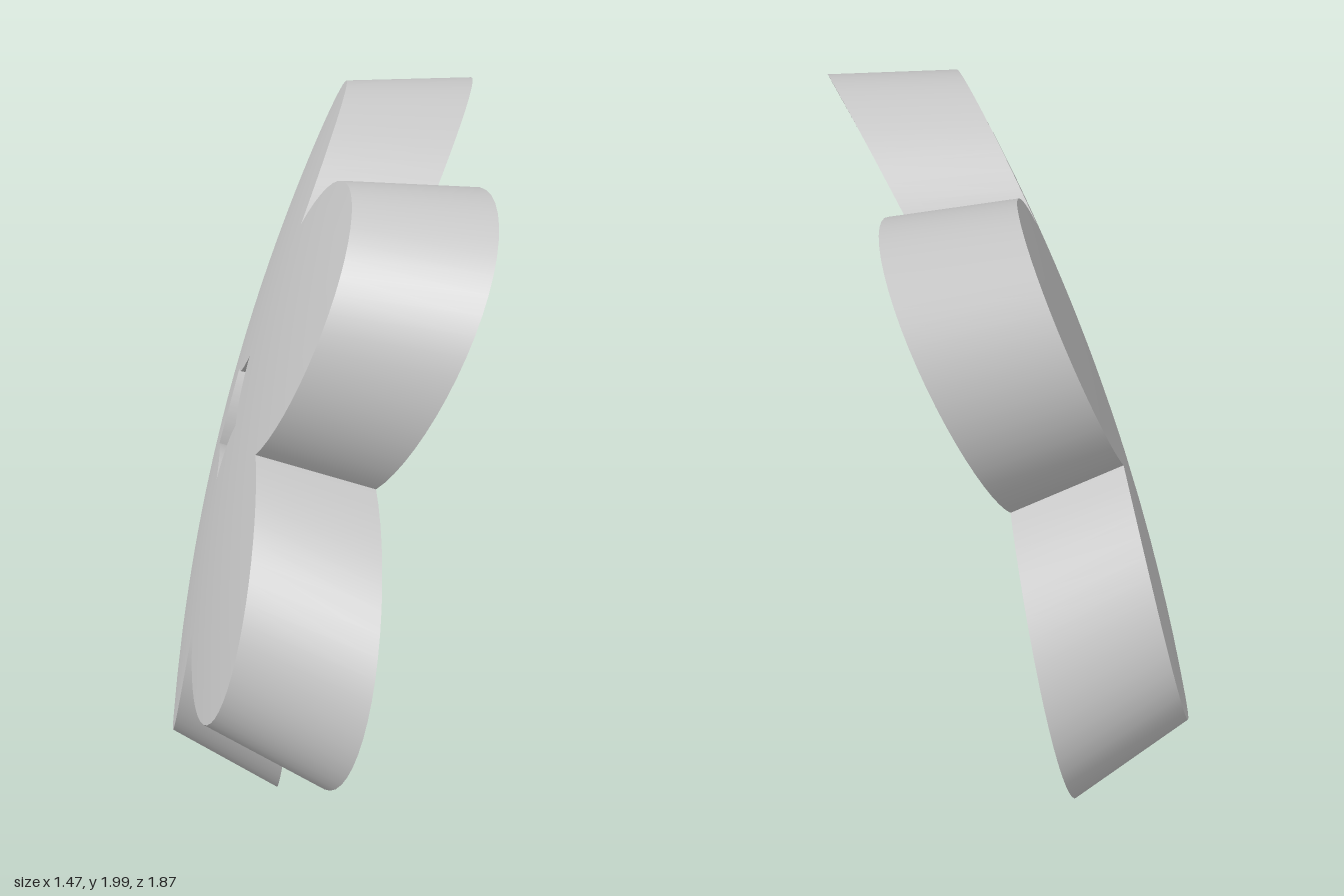
import * as THREE from 'three';
import { toCreasedNormals } from 'three/addons/utils/BufferGeometryUtils.js';

// Petal ellipse: distance from the flower's middle, radial and sideways half-sizes
const D = 0.565, P = 0.435, Q = 0.357;
const PETALS = 5, STEPS = 28, RINGS = 8;

// Where neighbouring petals cross: outer notch and corner of the centre hole
const slope = Math.tan(Math.PI / PETALS);
const phase = Math.atan2(slope * P, Q);
const cross = Math.asin(slope * D / Math.hypot(slope * P, Q));
const notch = phase + Math.min(cross, Math.PI - cross);
const corner = phase + Math.max(cross, Math.PI - cross);

// Thick domed flower, swept as a closed cross-section around its axis
function flowerGeometry() {
  const positions = [], indices = [];
  const columns = PETALS * STEPS, perColumn = 2 * (RINGS + 1);

  for (let i = 0; i < PETALS; i++) {
    const turn = (i + 0.5) * 2 * Math.PI / PETALS;
    const c = Math.cos(turn), s = Math.sin(turn);
    for (let j = 0; j < STEPS; j++) {
      const t = 2 * j / STEPS - 1;
      const tau = (Math.PI - corner) * t;
      const outer = [D + P * Math.cos(notch * t), Q * Math.sin(notch * t)];
      const inner = [D - P * Math.cos(tau), Q * Math.sin(tau)];
      const add = (f, scale, bend, depth) => {
        const r = (inner[0] + (outer[0] - inner[0]) * f) * scale;
        const w = (inner[1] + (outer[1] - inner[1]) * f) * scale;
        positions.push(r * s + w * c, r * c - w * s, -depth - bend * (r * r + w * w));
      };
      // front face outwards, then the wider back face inwards
      for (let k = 0; k <= RINGS; k++) add(k / RINGS, 1, 0.093, 0);
      for (let k = RINGS; k >= 0; k--) add(k / RINGS, 1.105, 0.118, 0.292);
    }
  }
  for (let j = 0; j < columns; j++) {
    for (let k = 0; k < perColumn; k++) {
      const j2 = (j + 1) % columns, k2 = (k + 1) % perColumn;
      const a = j * perColumn + k, b = j2 * perColumn + k;
      const c = j2 * perColumn + k2, d = j * perColumn + k2;
      indices.push(a, b, c, a, c, d);
    }
  }
  const geometry = new THREE.BufferGeometry();
  geometry.setAttribute('position', new THREE.Float32BufferAttribute(positions, 3));
  geometry.setIndex(indices);
  return toCreasedNormals(geometry, Math.PI / 6);
}

export function createModel() {
  const group = new THREE.Group();
  group.name = 'flower';

  const lightGrey = new THREE.MeshStandardMaterial({ color: 0xc8c8c8 });
  lightGrey.name = 'lightGrey';

  const petals = new THREE.Mesh(flowerGeometry(), lightGrey);
  petals.name = 'petals';

  // Turn the flower sideways and tilt its face up
  const turn = 0.978, tilt = 0.28;
  petals.rotation.set(-tilt, -turn, 0, 'YXZ');
  petals.position.set(-0.198, 1.185, 0.143);
  group.add(petals);
  return group;
}
